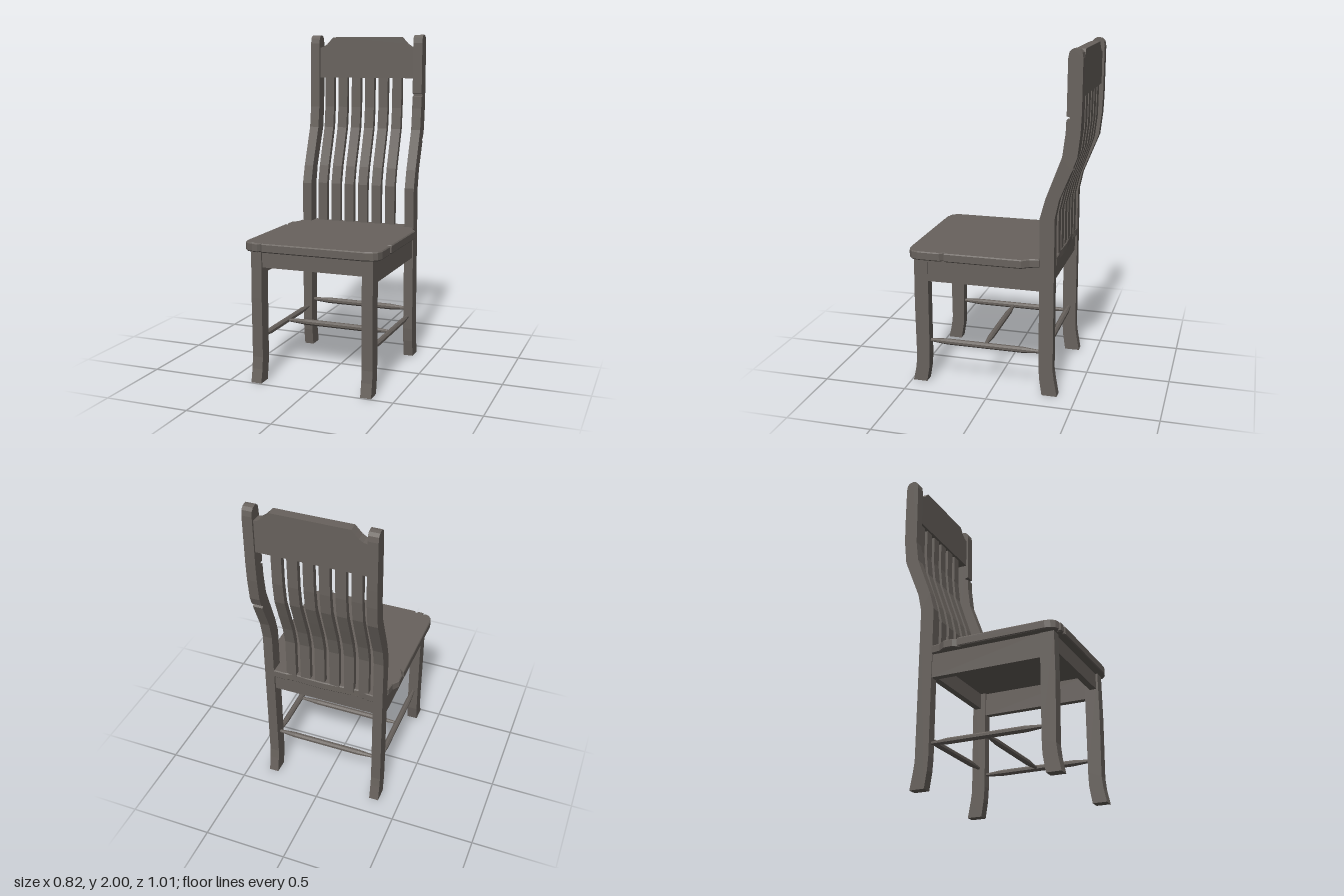
import * as THREE from 'three';

const wood = new THREE.MeshStandardMaterial({ color: 0x68625d, roughness: 0.9 });

const shapeOf = (pts) => new THREE.Shape(pts.map(([a, b]) => new THREE.Vector2(a, b)));

function addMesh(parent, name, geometry, x = 0, y = 0, z = 0) {
  const mesh = new THREE.Mesh(geometry, wood);
  mesh.name = name;
  mesh.position.set(x, y, z);
  parent.add(mesh);
  return mesh;
}

// Side profile of [z, y] points, given a width along x and centred on x = 0
function sideProfile(pts, width) {
  const g = new THREE.ExtrudeGeometry(shapeOf(pts), { depth: width, bevelEnabled: false });
  return g.rotateY(-Math.PI / 2).translate(width / 2, 0, 0);
}

// Faceted spindle along y, thin at the ends and thick in the middle
function spindle(length) {
  const h = length / 2;
  const pts = [[0, -h], [0.009, -h], [0.018, -h + 0.11], [0.018, h - 0.11], [0.009, h], [0, h]];
  const g = new THREE.LatheGeometry(pts.map(([r, y]) => new THREE.Vector2(r, y)), 8);
  const flat = g.rotateY(Math.PI / 8).toNonIndexed();
  flat.computeVertexNormals();
  return flat;
}

export function createModel() {
  const chair = new THREE.Group();
  chair.name = 'chair';

  // Back posts: splayed foot, S-bend and rounded top; the left one is chipped
  const postFront = [[-0.3, 0], [-0.285, 0.1], [-0.28, 0.18], [-0.28, 1.07], [-0.31, 1.18],
    [-0.4, 1.42], [-0.417, 1.55]];
  const frontChip = [[-0.42, 1.622], [-0.44, 1.626], [-0.44, 1.638], [-0.421, 1.642]];
  const postTop = [[-0.424, 1.95], [-0.43, 1.982], [-0.446, 1.998], [-0.464, 2], [-0.485, 1.996],
    [-0.5, 1.98], [-0.505, 1.95]];
  const postBack = [[-0.503, 1.66], [-0.498, 1.55], [-0.483, 1.42]];
  const backChip = [[-0.464, 1.37], [-0.445, 1.355], [-0.455, 1.345]];
  const postFoot = [[-0.387, 1.18], [-0.364, 1.07], [-0.364, 0.16], [-0.372, 0.1], [-0.39, 0]];
  for (const s of [-1, 1]) {
    const chipped = s > 0;
    const pts = [...postFront, ...(chipped ? frontChip : []), ...postTop, ...postBack,
      ...(chipped ? backChip : []), ...postFoot];
    addMesh(chair, chipped ? 'backPostLeft' : 'backPostRight', sideProfile(pts, 0.058), s * 0.34);
  }

  // Front legs
  const legPts = [[0.405, 0], [0.388, 0.1], [0.385, 0.18], [0.385, 0.785], [0.468, 0.785],
    [0.47, 0.5], [0.465, 0.15], [0.473, 0.08], [0.49, 0]];
  for (const s of [-1, 1]) {
    addMesh(chair, s > 0 ? 'frontLegLeft' : 'frontLegRight', sideProfile(legPts, 0.064), s * 0.336);
  }

  // Seat outline [x, z], cut around the posts, with worn back edge and small nicks
  const seatPts = [[0.312, -0.365], [0.312, -0.28], [0.372, -0.28], [0.38, -0.225], [0.41, -0.185],
    [0.41, 0.272], [0.388, 0.275], [0.41, 0.3], [0.41, 0.43], [0.398, 0.47], [0.375, 0.49],
    [0.33, 0.503], [-0.285, 0.503], [-0.298, 0.488], [-0.312, 0.503], [-0.345, 0.5],
    [-0.343, 0.478], [-0.362, 0.495], [-0.385, 0.485], [-0.403, 0.462], [-0.41, 0.43],
    [-0.41, -0.1], [-0.386, -0.085], [-0.41, -0.13], [-0.41, -0.185], [-0.383, -0.225],
    [-0.375, -0.28], [-0.312, -0.28], [-0.312, -0.365], [-0.27, -0.362], [-0.22, -0.35],
    [-0.13, -0.356], [0, -0.364], [0.1, -0.362], [0.19, -0.356], [0.24, -0.366]];
  const seat = new THREE.ExtrudeGeometry(shapeOf(seatPts), {
    depth: 0.04, bevelThickness: 0.006, bevelSize: 0.005, bevelOffset: -0.005, bevelSegments: 1,
  });
  addMesh(chair, 'seat', seat.rotateX(Math.PI / 2), 0, 0.824, 0);

  // Aprons under the seat
  addMesh(chair, 'frontApron', new THREE.BoxGeometry(0.62, 0.1, 0.04), 0, 0.732, 0.436);
  addMesh(chair, 'backApron', new THREE.BoxGeometry(0.63, 0.1, 0.04), 0, 0.732, -0.33);
  for (const s of [-1, 1]) {
    addMesh(chair, 'sideApron', new THREE.BoxGeometry(0.04, 0.145, 0.7), s * 0.343, 0.71, 0.05);
  }

  // Stretchers: one per side, one across their middles, one between the back posts
  for (const s of [-1, 1]) {
    addMesh(chair, 'sideStretcher', spindle(0.68), s * 0.337, 0.258, 0.052).rotation.x = Math.PI / 2;
  }
  addMesh(chair, 'middleStretcher', spindle(0.64), 0, 0.258, 0.052).rotation.z = Math.PI / 2;
  addMesh(chair, 'backStretcher', spindle(0.64), 0, 0.3, -0.322).rotation.z = Math.PI / 2;

  // Curved back slats following the posts
  const slatFront = [[-0.325, 0.81], [-0.325, 1.07], [-0.35, 1.18], [-0.392, 1.3], [-0.432, 1.42],
    [-0.447, 1.55], [-0.45, 1.75]];
  const slatPts = [...slatFront, ...slatFront.map(([z, y]) => [z - 0.033, y]).reverse()];
  for (let i = 0; i < 6; i++) {
    addMesh(chair, 'backSlat', sideProfile(slatPts, 0.06), -0.251 + i * 0.0902);
  }

  // Top rail with scooped shoulders
  const shoulder = [[0.315, 1.922], [0.285, 1.93], [0.262, 1.945], [0.242, 1.966], [0.222, 1.988]];
  const railPts = [[-0.315, 1.735], [0.315, 1.735], ...shoulder,
    ...shoulder.map(([x, y]) => [-x, y]).reverse()];
  const rail = new THREE.ExtrudeGeometry(shapeOf(railPts), { depth: 0.056, bevelEnabled: false });
  addMesh(chair, 'topRail', rail, 0, 0, -0.492);

  return chair;
}
